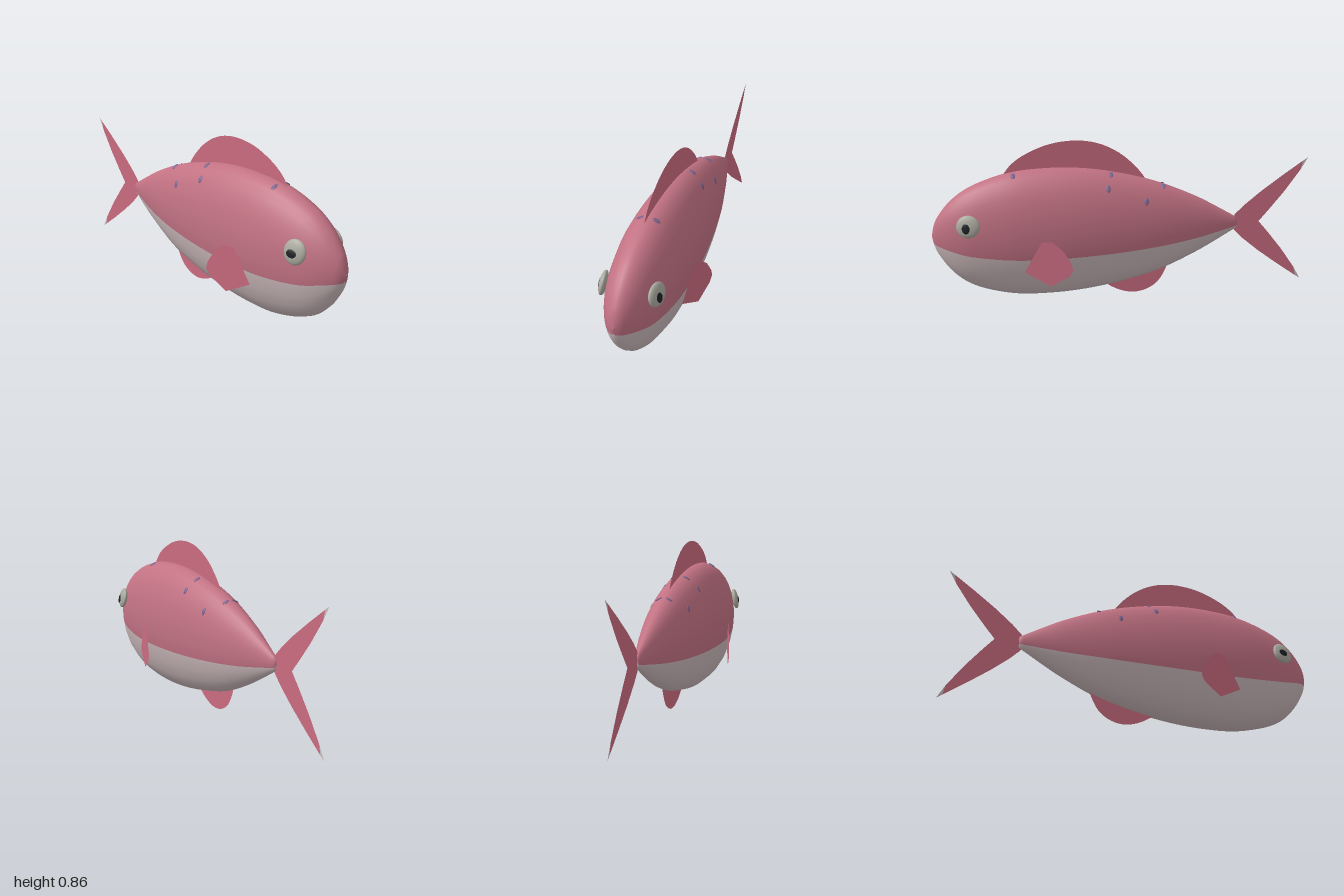
import * as THREE from 'three';

const mat = (name, color, side = THREE.FrontSide) => {
  const m = new THREE.MeshStandardMaterial({ color, side });
  m.name = name;
  return m;
};

// Body profile: x, centre height, half height
const profile = new THREE.CatmullRomCurve3([
  [-0.62, 0.38, 0.03], [-0.5, 0.38, 0.1], [-0.4, 0.38, 0.155], [-0.2, 0.378, 0.243],
  [0, 0.379, 0.3], [0.2, 0.379, 0.335], [0.4, 0.376, 0.346], [0.6, 0.371, 0.331],
  [0.8, 0.366, 0.266], [0.9, 0.369, 0.192], [0.97, 0.376, 0.098], [0.988, 0.377, 0.055], [1, 0.378, 0.002],
].map(p => new THREE.Vector3(...p)));
const WIDTH = 0.475; // half width / half height

// Height of the belly colour line along the body
const bellyLine = new THREE.SplineCurve([
  [-0.62, 0.365], [-0.4, 0.327], [-0.2, 0.305], [0, 0.29], [0.2, 0.281], [0.4, 0.276],
  [0.6, 0.28], [0.8, 0.299], [0.9, 0.32], [1, 0.343],
].map(p => new THREE.Vector2(...p))).getPoints(80);

function sample(points, x) {
  let i = 1;
  while (i < points.length - 1 && points[i].x < x) i++;
  const a = points[i - 1], b = points[i];
  return a.clone().lerp(b, THREE.MathUtils.clamp((x - a.x) / (b.x - a.x), 0, 1));
}

// Rings are split at the belly line so each colour has a clean edge
function bodyGeometry() {
  const rings = profile.getPoints(72);
  rings.unshift(new THREE.Vector3(-0.621, 0.38, 0.001));
  const U = 18, L = 10, n = U + L, pos = [], upper = [], lower = [];
  for (const { x, y, z: h } of rings) {
    const t = Math.asin(THREE.MathUtils.clamp((sample(bellyLine, x).y - y) / h, -1, 1));
    for (let j = 0; j < n; j++) {
      const a = j < U
        ? t + (Math.PI - 2 * t) * j / U
        : Math.PI - t + (Math.PI + 2 * t) * (j - U) / L;
      pos.push(x, y + h * Math.sin(a), h * WIDTH * Math.cos(a));
    }
  }
  for (let i = 0; i < rings.length - 1; i++) {
    for (let j = 0; j < n; j++) {
      const k = (j + 1) % n, a = i * n + j, c = i * n + k;
      (j < U ? upper : lower).push(a, a + n, c + n, a, c + n, c);
    }
  }
  const g = new THREE.BufferGeometry();
  g.setAttribute('position', new THREE.Float32BufferAttribute(pos, 3));
  g.setIndex([...upper, ...lower]);
  g.addGroup(0, upper.length, 0);
  g.addGroup(upper.length, lower.length, 1);
  g.computeVertexNormals();
  return g;
}

const flat = pts => new THREE.ShapeGeometry(new THREE.Shape(pts.map(p => new THREE.Vector2(...p))));
const smoothOutline = pts => new THREE.SplineCurve(pts.map(p => new THREE.Vector2(...p)))
  .getPoints(32).map(p => [p.x, p.y]);

export function createModel() {
  const fish = new THREE.Group();
  fish.name = 'fish';
  const back = mat('rosy back', 0xc27283);
  const belly = mat('pale belly', 0xcab8ba);
  const fin = mat('pink fin', 0xcb6c80, THREE.DoubleSide);
  const tip = mat('pale fin tip', 0xc8bcbc, THREE.DoubleSide);
  const eye = mat('grey eye', 0xaaaa9f);
  const pupil = mat('dark pupil', 0x1c2024);
  const spot = mat('violet spot', 0x7a6591);

  const add = (name, geometry, material, parent = fish) => {
    const m = new THREE.Mesh(geometry, material);
    m.name = name;
    parent.add(m);
    return m;
  };

  add('body', bodyGeometry(), [back, belly]);

  // Thin fins on the centre line
  add('dorsalFin', flat([
    ...smoothOutline([[-0.13, 0.63], [-0.07, 0.71], [0.02, 0.79], [0.13, 0.844], [0.25, 0.862],
      [0.38, 0.847], [0.5, 0.8], [0.58, 0.745], [0.63, 0.68]]),
    [0.4, 0.6], [0.1, 0.58],
  ]), fin);
  add('analFin', flat([
    ...smoothOutline([[-0.25, 0.18], [-0.23, 0.12], [-0.19, 0.055], [-0.13, 0.015], [-0.06, 0.001],
      [0.01, 0.015], [0.07, 0.045], [0.13, 0.09]]),
    [0, 0.2],
  ]), fin);
  add('tailFin', flat([
    [-0.595, 0.38], [-0.61, 0.425], [-0.66, 0.475], [-0.75, 0.55], [-0.86, 0.632], [-0.972, 0.711],
    [-0.962, 0.662], [-0.88, 0.545], [-0.8, 0.445], [-0.745, 0.38],
    [-0.8, 0.315], [-0.88, 0.215], [-0.962, 0.098], [-0.972, 0.049],
    [-0.86, 0.128], [-0.75, 0.21], [-0.66, 0.285], [-0.61, 0.335],
  ]), fin);
  for (const s of [1, -1]) {
    add(s > 0 ? 'upperTailTip' : 'lowerTailTip', flat([
      [-1, 0.38 + s * 0.35], [-0.962, 0.38 + s * 0.282], [-0.972, 0.38 + s * 0.331],
    ]), tip);
  }

  for (const s of [1, -1]) {
    const side = s > 0 ? 'front' : 'rear';

    // Side fin flares outward towards the tail
    const g = flat([[0.385, 0.383], [0.44, 0.38], [0.53, 0.21], [0.4, 0.14], [0.305, 0.2],
      [0.285, 0.235], [0.293, 0.27], [0.33, 0.335]]);
    const p = g.attributes.position;
    for (let i = 0; i < p.count; i++) p.setZ(i, s * (0.15 - 0.29 * (p.getX(i) - 0.53)));
    g.computeVertexNormals();
    add(side + 'PectoralFin', g, fin);

    // Eye bulges from the head, with a pupil on its face
    const e = new THREE.Group();
    e.name = side + 'Eye';
    e.position.set(0.805, 0.465, s * 0.131);
    e.quaternion.setFromUnitVectors(new THREE.Vector3(0, 0, 1), new THREE.Vector3(0.22, 0.2, s).normalize());
    add('eyeball', new THREE.SphereGeometry(1, 24, 16), eye, e).scale.set(0.058, 0.061, 0.02);
    const iris = add('pupil', new THREE.SphereGeometry(1, 16, 10), pupil, e);
    iris.scale.set(0.026, 0.02, 0.004);
    iris.position.set(s * -0.008, -0.008, 0.019);
    fish.add(e);

    // Small spots lying on the back
    const rings = profile.getPoints(72);
    for (const [x, y] of [[-0.11, 0.55], [0.088, 0.625], [0.068, 0.686], [0.57, 0.696], [-0.21, 0.61]]) {
      const r = sample(rings, x), sin = Math.min((y - r.y) / r.z, 0.97), cos = Math.sqrt(1 - sin * sin);
      const m = add(side + 'Spot', new THREE.SphereGeometry(1, 12, 8), spot);
      m.scale.set(0.012, 0.02, 0.004);
      m.position.set(x, r.y + r.z * sin, s * r.z * WIDTH * cos);
      m.rotation.x = -s * Math.atan2(sin * WIDTH, cos) + (s < 0 ? Math.PI : 0);
    }
  }
  return fish;
}
